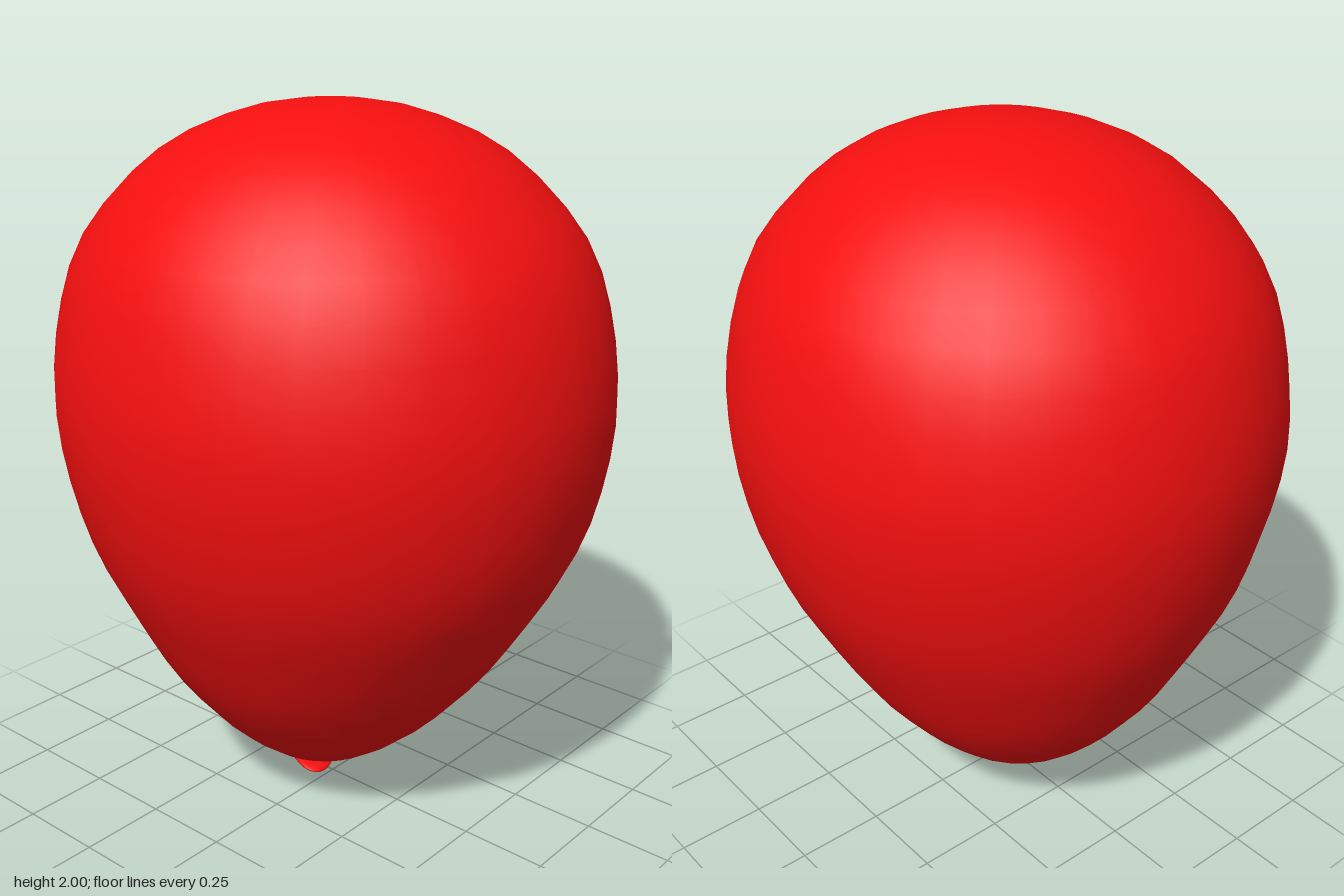
import * as THREE from 'three';
import { mergeVertices } from 'three/addons/utils/BufferGeometryUtils.js';

const red = new THREE.MeshStandardMaterial({ color: 0xf50f0f, side: THREE.DoubleSide });

// Smooth turned solid from [radius, height] points (bottom to top), each vertex then moved by a rule
function turned(name, points, rings, sides, move) {
  const curve = new THREE.SplineCurve(points.map(([r, y]) => new THREE.Vector2(r, y)));
  const profile = curve.getSpacedPoints(rings);
  profile.forEach(p => { p.x = Math.max(0, p.x); });
  let geometry = new THREE.LatheGeometry(profile, sides);
  const pos = geometry.attributes.position;
  const v = new THREE.Vector3();
  for (let i = 0; i < pos.count; i++) {
    move(v.fromBufferAttribute(pos, i));
    pos.setXYZ(i, v.x, v.y, v.z);
  }
  // weld the seam so the shading is continuous
  geometry.deleteAttribute('uv');
  geometry.deleteAttribute('normal');
  geometry = mergeVertices(geometry, 1e-5);
  geometry.computeVertexNormals();
  const mesh = new THREE.Mesh(geometry, red);
  mesh.name = name;
  return mesh;
}

export function createModel() {
  const group = new THREE.Group();
  group.name = 'balloon';

  // Inflated body: slightly deeper than wide, its lower end drifting backwards
  const body = [
    [0, 0.068], [0.14, 0.1], [0.26, 0.185], [0.37, 0.3], [0.47, 0.435], [0.56, 0.595],
    [0.655, 0.79], [0.715, 1.0], [0.74, 1.22], [0.715, 1.44], [0.65, 1.635],
    [0.52, 1.8], [0.37, 1.91], [0.18, 1.98], [0, 2],
  ];
  group.add(turned('body', body, 28, 32, v => {
    v.z = v.z * 1.067 - 0.055 * Math.max(0, 1 - v.y / 0.9) ** 1.2;
  }));

  // Tied knot with a rolled, wavy lip
  const knot = [
    [0, 0.024], [0.025, 0.021], [0.045, 0.01], [0.056, 0.012], [0.059, 0.018],
    [0.045, 0.026], [0.021, 0.032], [0.014, 0.04], [0.023, 0.05], [0.022, 0.058],
    [0.013, 0.068], [0.018, 0.1],
  ];
  const mesh = turned('knot', knot, 36, 24, v => {
    const a = Math.atan2(v.z, v.x);
    const lip = Math.min(1, Math.hypot(v.x, v.z) / 0.055) ** 2 * (v.y < 0.035 ? 1 : 0);
    const stretch = 1 + 0.08 * lip * Math.sin(3 * a + 0.6);
    v.x *= stretch;
    v.z *= stretch;
    v.y += lip * (0.005 * Math.sin(2 * a + 1) - 0.006 * Math.sin(a) + 0.004);
  });
  mesh.geometry.computeBoundingBox();
  mesh.position.set(-0.012, -mesh.geometry.boundingBox.min.y, -0.068);
  group.add(mesh);

  return group;
}
